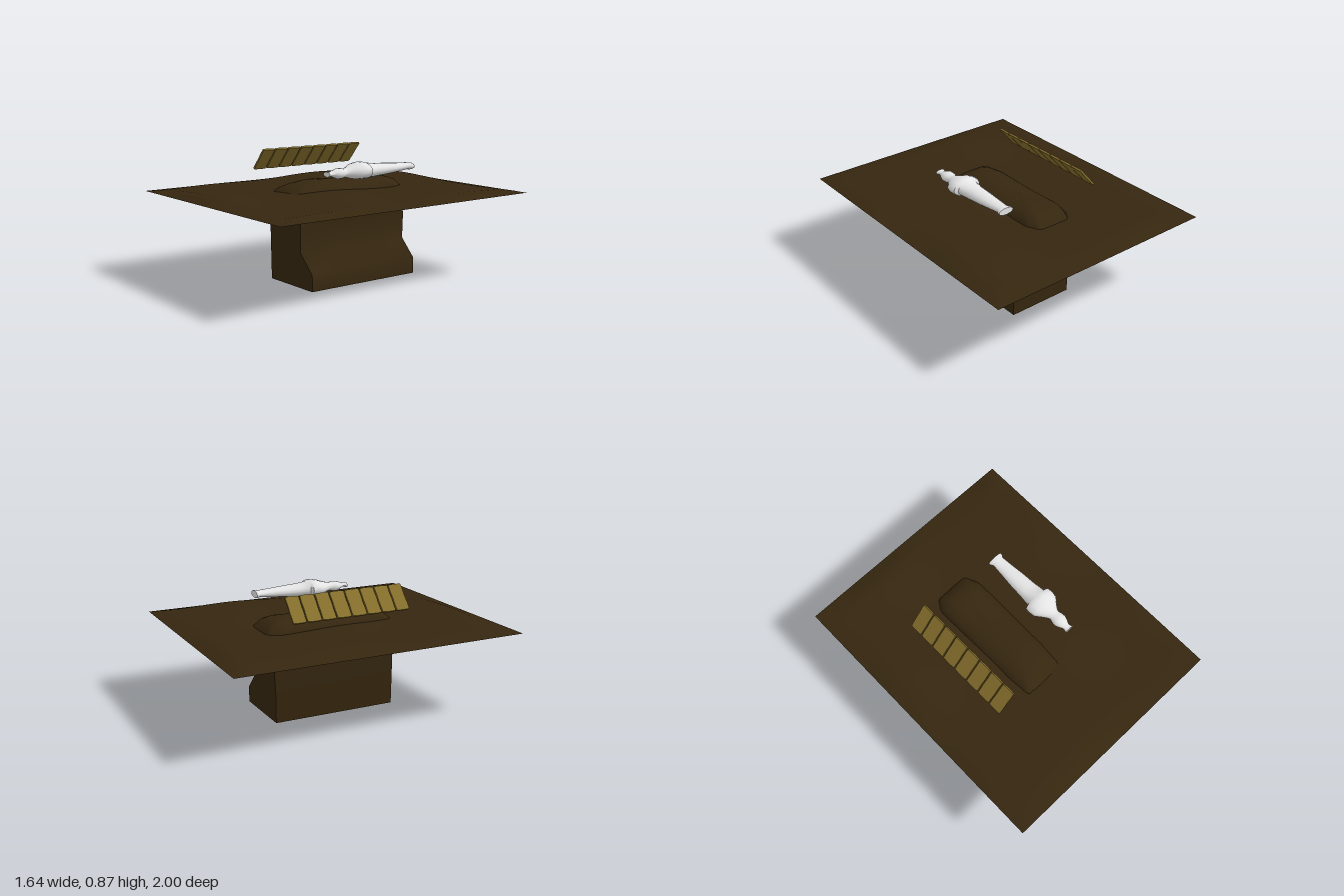
import * as THREE from 'three';
import { toCreasedNormals } from 'three/addons/utils/BufferGeometryUtils.js';

// Skin a list of rings (equal counts of [x, y, z]) and close both ends.
function loft(rings, crease) {
  const n = rings[0].length;
  const pos = rings.flat(2);
  const idx = [];
  for (let r = 0; r < rings.length - 1; r++) {
    for (let i = 0; i < n; i++) {
      const a = r * n + i, b = r * n + (i + 1) % n;
      idx.push(a, b, a + n, b, b + n, a + n);
    }
  }
  [[0, true], [rings.length - 1, false]].forEach(([r, flip]) => {
    const c = pos.length / 3;
    for (let k = 0; k < 3; k++) pos.push(rings[r].reduce((s, p) => s + p[k], 0) / n);
    for (let i = 0; i < n; i++) {
      const a = r * n + i, b = r * n + (i + 1) % n;
      idx.push(c, flip ? b : a, flip ? a : b);
    }
  });
  const geo = new THREE.BufferGeometry();
  geo.setAttribute('position', new THREE.Float32BufferAttribute(pos, 3));
  geo.setIndex(idx);
  return toCreasedNormals(geo, crease);
}

export function createModel() {
  const group = new THREE.Group();
  const earth = new THREE.MeshStandardMaterial({ color: 0x35260f, side: THREE.DoubleSide });
  earth.name = 'dark earth';
  const wood = new THREE.MeshStandardMaterial({ color: 0x87702c });
  wood.name = 'golden wood';
  const cloth = new THREE.MeshStandardMaterial({ color: 0xe4e4e4 });
  cloth.name = 'white cloth';
  const add = (geo, mat, name, parent = group) => {
    const mesh = new THREE.Mesh(geo, mat);
    mesh.name = name;
    parent.add(mesh);
    return mesh;
  };

  // Uneven ground sheet, level along its border
  const ground = new THREE.PlaneGeometry(1.64, 2, 28, 34).rotateX(-Math.PI / 2);
  const gp = ground.attributes.position;
  for (let i = 0; i < gp.count; i++) {
    const x = gp.getX(i), z = gp.getZ(i);
    const edge = Math.min(0.82 - Math.abs(x), 1 - Math.abs(z));
    const rise = Math.min(1, Math.max(0, edge) / 0.12);
    const bumps = 0.024 + 0.008 * Math.sin(5 * x + 3 * z) + 0.006 * Math.sin(7 * z - 4 * x + 1);
    gp.setY(i, 0.58 + rise * bumps);
  }
  ground.computeVertexNormals();
  add(ground, earth, 'ground');

  // Burial shaft with a side niche: L-shaped section, slightly bulging back wall
  const section = [[-0.19, 0], [0.275, 0], [0.275, 0.11], [0.15, 0.23], [0.148, 0.4],
    [0.14, 0.56], [-0.192, 0.56], [-0.2, 0.4], [-0.195, 0.2]];
  const bulge = y => 0.015 * Math.max(0, Math.sin((y - 0.18) / 0.36 * Math.PI));
  add(loft([-0.475, -0.2, 0.1, 0.392].map((z, k) =>
    section.map(([x, y]) => [x, y, k === 0 ? z - bulge(y) : z])), 0.9), earth, 'shaft');

  // Heaped soil over the shaft: y, half width, half length
  const heap = [[0.53, 0.165, 0.465], [0.545, 0.172, 0.48], [0.575, 0.172, 0.48],
    [0.6, 0.163, 0.455], [0.632, 0.142, 0.425], [0.652, 0.105, 0.37], [0.666, 0.06, 0.3], [0.67, 0.02, 0.2]];
  const N = 40;
  const rings = heap.map(([y, hx, hz], k) => Array.from({ length: N }, (_, i) => {
    const a = -i / N * Math.PI * 2;
    const c = Math.cos(a), s = Math.sin(a);
    const px = Math.sign(c) * Math.pow(Math.abs(c), 0.3);
    const pz = Math.sign(s) * Math.pow(Math.abs(s), 0.3);
    const rough = 1 + 0.018 * Math.sin(a * 5 + k) + 0.01 * Math.sin(a * 9);
    const z = pz * hz * rough - 0.05;
    return [px * hx * rough - 0.026, y + (k > 3 ? 0.007 * Math.sin(z * 11) : 0), z];
  }));
  add(loft(rings, 1), earth, 'moundOfSoil');

  // Wrapped body lying along z: z, half width, bottom, top
  const body = [[-0.413, 0.055, 0.734, 0.781], [-0.4, 0.055, 0.732, 0.783], [-0.38, 0.043, 0.735, 0.78],
    [-0.3, 0.05, 0.726, 0.785], [-0.2, 0.06, 0.717, 0.792], [-0.1, 0.066, 0.71, 0.797],
    [-0.02, 0.075, 0.705, 0.807], [-0.01, 0.103, 0.704, 0.813], [0.025, 0.107, 0.704, 0.815],
    [0.065, 0.1, 0.706, 0.806], [0.1, 0.07, 0.712, 0.794], [0.13, 0.047, 0.72, 0.785],
    [0.15, 0.038, 0.725, 0.778], [0.175, 0.046, 0.718, 0.785], [0.205, 0.048, 0.717, 0.785],
    [0.235, 0.036, 0.73, 0.775], [0.255, 0.025, 0.74, 0.765], [0.272, 0.027, 0.737, 0.767],
    [0.286, 0.035, 0.735, 0.768]];
  add(loft(body.map(([z, w, lo, hi]) => Array.from({ length: 14 }, (_, i) => {
    const a = i / 14 * Math.PI * 2;
    return [0.29 + w * Math.cos(a), (lo + hi) / 2 + (hi - lo) / 2 * Math.sin(a), z];
  })), 1), cloth, 'wrappedBody');

  // Row of leaning boards with worn, slightly uneven ends
  const boards = new THREE.Group();
  boards.name = 'boards';
  boards.position.set(-0.358, 0.795, 0);
  boards.rotation.z = 0.85;
  group.add(boards);
  const cuts = [-0.455, -0.356, -0.25, -0.148, -0.04, 0.07, 0.176, 0.282, 0.383];
  for (let k = 0; k < 8; k++) {
    const length = cuts[k + 1] - cuts[k] - 0.007;
    const geo = new THREE.BoxGeometry(0.19, 0.014, length, 8, 1, 4);
    const p = geo.attributes.position;
    for (let i = 0; i < p.count; i++) {
      const x = p.getX(i), z = p.getZ(i);
      p.setX(i, x * (1 - 0.03 * Math.pow(Math.abs(z) / length * 2, 4)));
      p.setZ(i, z * (1 - 0.035 * (1 + Math.sin(x * 60 + k * 2)) / 2));
    }
    geo.computeVertexNormals();
    add(geo, wood, 'board', boards).position.z = (cuts[k] + cuts[k + 1]) / 2;
  }
  return group;
}
